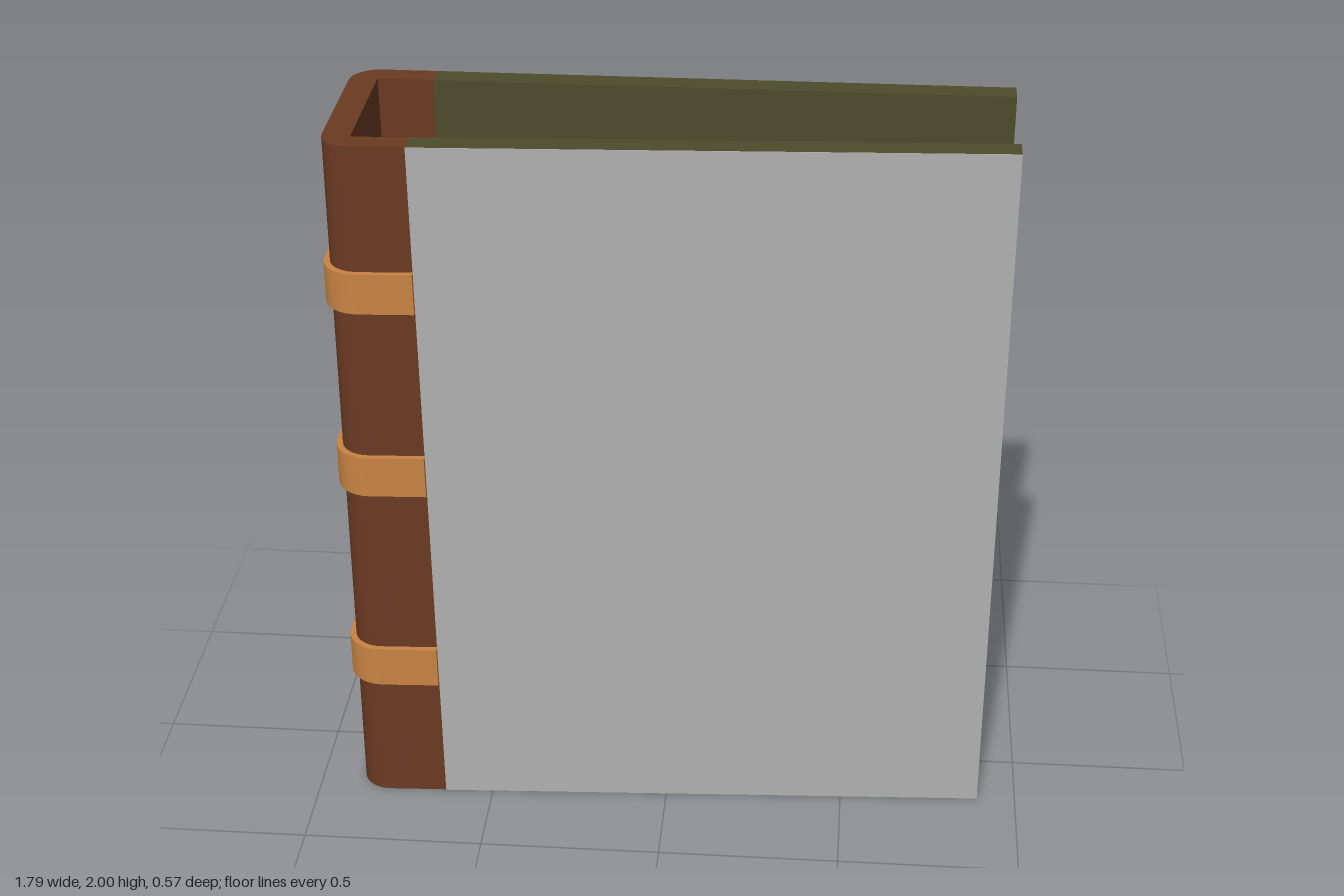
import * as THREE from 'three';
import { toCreasedNormals } from 'three/addons/utils/BufferGeometryUtils.js';

const mat = (name, color) => Object.assign(new THREE.MeshStandardMaterial({ color }), { name });

const HEIGHT = 2, JOINT = -0.655, EDGE = 0.892, BACK = -0.268;
// z of the tilted front cover's outer and inner faces
const frontOuter = (x) => 0.265 - 0.05 * (x + 0.8);
const frontInner = (x) => 0.198 - 0.05 * (x + 0.8);

// Extrude a plan outline (x, -z) upward from y0; the front joint and inner wall lean with height
function upright(shape, y0, y1) {
  const geo = new THREE.ExtrudeGeometry(shape, { depth: y1 - y0, bevelEnabled: false, curveSegments: 8 });
  geo.rotateX(-Math.PI / 2).translate(0, y0, 0);
  const p = geo.attributes.position;
  for (let i = 0; i < p.count; i++) {
    const x = p.getX(i), z = p.getZ(i), drop = 1 - p.getY(i) / HEIGHT;
    if (z > 0 && Math.abs(x - JOINT) < 0.01) p.setX(i, x + 0.02 * drop);
    else if (Math.abs(x + 0.805) < 0.001 && Math.abs(z) < 0.21) p.setX(i, x + 0.015 * drop);
  }
  return toCreasedNormals(geo, 0.6);
}

// Rounded C-shaped outline around the spine, pushed out by d
function wrapPoints(d) {
  const r = 0.08 + d, pts = [[JOINT, -BACK + d]];
  const arc = (cy, a0) => {
    for (let i = 0; i <= 8; i++) {
      const a = a0 + (i / 8) * Math.PI / 2;
      pts.push([-0.8 + r * Math.cos(a), cy + r * Math.sin(a)]);
    }
  };
  arc(-BACK - 0.08, Math.PI / 2);
  arc(-0.185, Math.PI);
  pts.push([JOINT, -frontOuter(JOINT) - d]);
  return pts;
}

const outline = (pts) => new THREE.Shape(pts.map(([x, y]) => new THREE.Vector2(x, y)));

export function createModel() {
  const model = new THREE.Group();
  const leather = mat('brown leather', 0x6b3a23);
  const cloth = mat('olive cloth', 0x4d4c2b);
  const strap = mat('tan strap', 0xc98444);
  const panel = mat('grey panel', 0xb1b1b1);
  const add = (name, geo, material) => {
    const mesh = new THREE.Mesh(geo, material);
    mesh.name = name;
    model.add(mesh);
  };

  // Spine wrapping onto both covers
  add('spine', upright(outline([
    ...wrapPoints(0),
    [JOINT, -frontInner(JOINT)], [-0.805, -0.198], [-0.805, 0.202], [JOINT, 0.202],
  ]), 0, HEIGHT), leather);

  // Covers
  add('backCover', upright(outline([
    [JOINT, 0.202], [EDGE, 0.202], [EDGE, -BACK], [JOINT, -BACK],
  ]), 0, HEIGHT), cloth);
  add('frontCover', upright(outline([
    [JOINT, -frontOuter(JOINT)], [EDGE, -frontOuter(EDGE)],
    [EDGE, -frontInner(EDGE)], [JOINT, -frontInner(JOINT)],
  ]), 0, HEIGHT), cloth);

  // Thin panel over the front cover
  add('frontPanel', upright(outline([
    [JOINT, -frontOuter(JOINT) - 0.002], [EDGE, -frontOuter(EDGE) - 0.002],
    [EDGE, -frontOuter(EDGE)], [JOINT, -frontOuter(JOINT)],
  ]), 0, HEIGHT), panel);

  // Raised bands around the spine
  [[0.375, 0.493], [0.99, 1.108], [1.538, 1.652]].forEach(([y0, y1], i) => {
    add('spineBand' + (i + 1),
      upright(outline([...wrapPoints(0.017), ...wrapPoints(0).reverse()]), y0, y1), strap);
  });

  return model;
}
